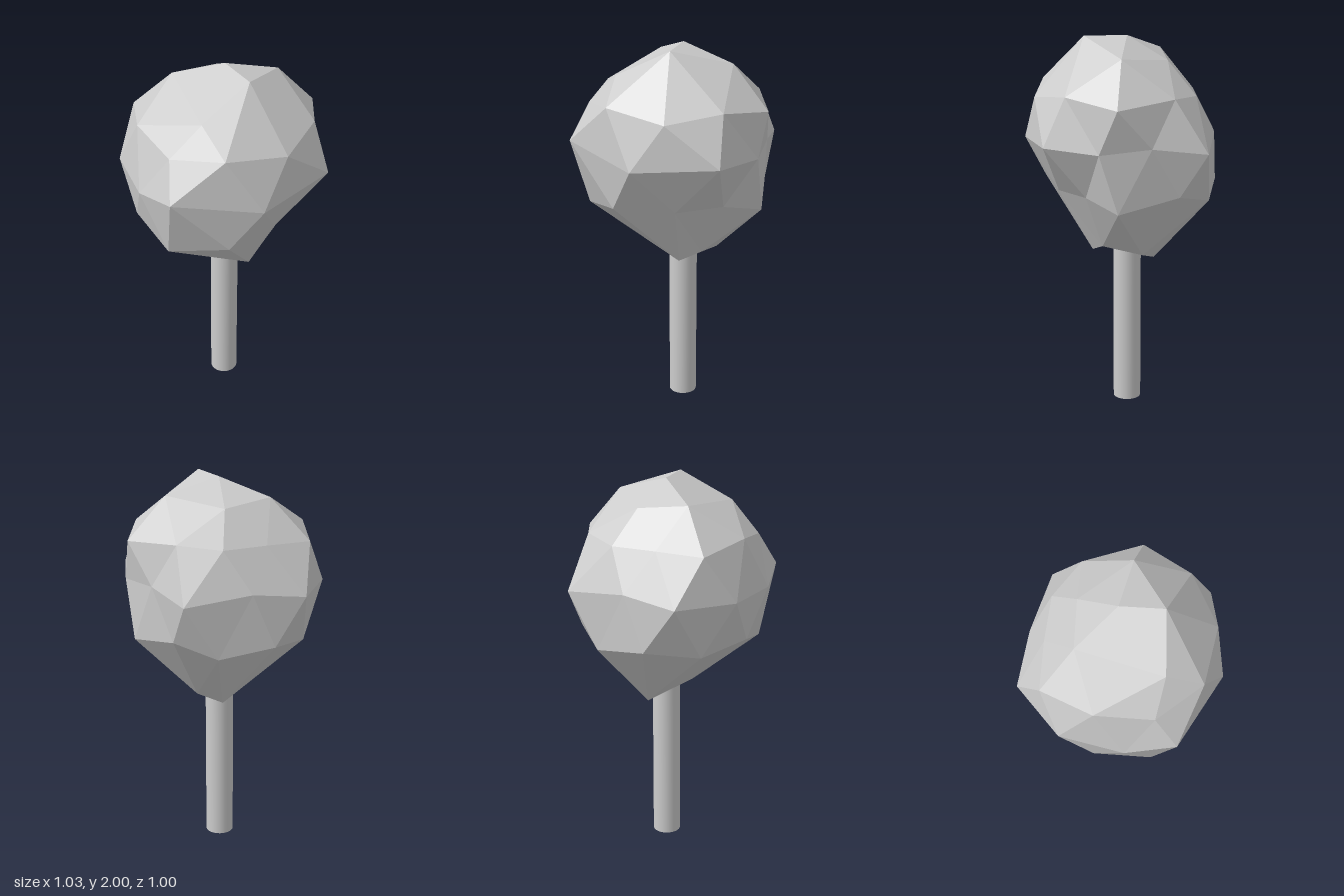
import * as THREE from 'three';

const CENTRE = new THREE.Vector3(0, 1.46, -0.04);
const RADIUS = 0.54;

// Ring of points on the crown sphere; `moved` replaces single points to make it lumpy.
function ring(count, startDeg, height, moved = {}) {
  const r = Math.sqrt(1 - height * height);
  return Array.from({ length: count }, (_, i) => {
    if (moved[i]) return new THREE.Vector3(...moved[i]);
    const a = THREE.MathUtils.degToRad(startDeg + (i * 360) / count);
    return new THREE.Vector3(r * Math.cos(a), height, r * Math.sin(a)).multiplyScalar(RADIUS).add(CENTRE);
  });
}

// Once-subdivided icosphere, listed as rings from top to bottom.
function crownGeometry() {
  const [top] = ring(1, 0, 1);
  const cap = ring(5, 0, 0.851, {
    0: [0.22, 2.0, -0.015], 1: [0.205, 1.86, 0.265], 2: [-0.215, 1.91, 0.125], 3: [-0.19, 1.88, -0.14],
  });
  const upperMid = ring(5, 36, 0.526, {
    0: [0.39, 1.745, 0.27], 2: [-0.36, 1.71, -0.005], 3: [-0.16, 1.73, -0.41],
  });
  const upper = ring(5, 0, 0.447, { 3: [-0.315, 1.71, -0.24] });
  const belt = ring(10, 18, 0, {
    1: [0.255, 1.52, 0.5], 5: [-0.44, 1.5, -0.15], 7: [-0.03, 1.5, -0.475],
    8: [0.235, 1.48, -0.465], 9: [0.485, 1.495, -0.315],
  });
  const lower = ring(5, 36, -0.447, { 3: [-0.18, 1.24, -0.45], 4: [0.27, 1.225, -0.3] });
  const lowerMid = ring(5, 0, -0.526, { 0: [0.37, 1.21, -0.07], 1: [0.14, 1.15, 0.435] });
  const base = ring(5, 36, -0.851, {
    0: [0.19, 0.87, -0.055], 1: [0.01, 0.91, 0.1], 2: [-0.13, 0.82, -0.11],
    3: [-0.045, 0.87, -0.215], 4: [0.16, 0.92, -0.17],
  });
  const [bottom] = ring(1, 0, -1);

  const points = [];
  const normal = new THREE.Vector3();
  const out = new THREE.Vector3();
  // Adds a triangle wound to face away from the crown centre.
  const tri = (a, b, c) => {
    new THREE.Triangle(a, b, c).getNormal(normal);
    out.copy(a).add(b).add(c).divideScalar(3).sub(CENTRE);
    points.push(...(normal.dot(out) > 0 ? [a, b, c] : [a, c, b]));
  };

  for (let k = 0; k < 5; k++) {
    const n = (k + 1) % 5, p = (k + 4) % 5;
    const e0 = belt[2 * k], e1 = belt[2 * k + 1], ep = belt[(2 * k + 9) % 10];
    // top wedge
    tri(top, cap[n], cap[k]);
    tri(cap[k], cap[n], upperMid[k]);
    tri(cap[k], upperMid[k], upper[k]);
    tri(cap[n], upper[n], upperMid[k]);
    // downward-pointing side wedge
    tri(upper[k], upperMid[k], e0);
    tri(upperMid[k], upper[n], e1);
    tri(e0, upperMid[k], e1);
    tri(e0, e1, lower[k]);
    // upward-pointing side wedge
    tri(upper[k], e0, ep);
    tri(e0, lower[k], lowerMid[k]);
    tri(ep, lowerMid[k], lower[p]);
    tri(ep, e0, lowerMid[k]);
    // bottom wedge
    tri(lowerMid[k], lower[k], base[k]);
    tri(lowerMid[k], base[p], lower[p]);
    tri(lowerMid[k], base[p], base[k]);
    tri(bottom, base[p], base[k]);
  }
  const geometry = new THREE.BufferGeometry().setFromPoints(points);
  geometry.computeVertexNormals();
  return geometry;
}

export function createModel() {
  const group = new THREE.Group();
  group.name = 'tree';

  // faceted crown
  const crown = new THREE.Mesh(
    crownGeometry(),
    new THREE.MeshStandardMaterial({ color: 0xcccccc, flatShading: true }),
  );
  crown.name = 'crown';

  // smooth round trunk, reaching up into the crown
  const height = 1.0;
  const trunk = new THREE.Mesh(
    new THREE.CylinderGeometry(0.074, 0.074, height, 32),
    new THREE.MeshStandardMaterial({ color: 0xcccccc }),
  );
  trunk.name = 'trunk';
  trunk.position.set(0, height / 2, CENTRE.z);

  group.add(crown, trunk);
  return group;
}
